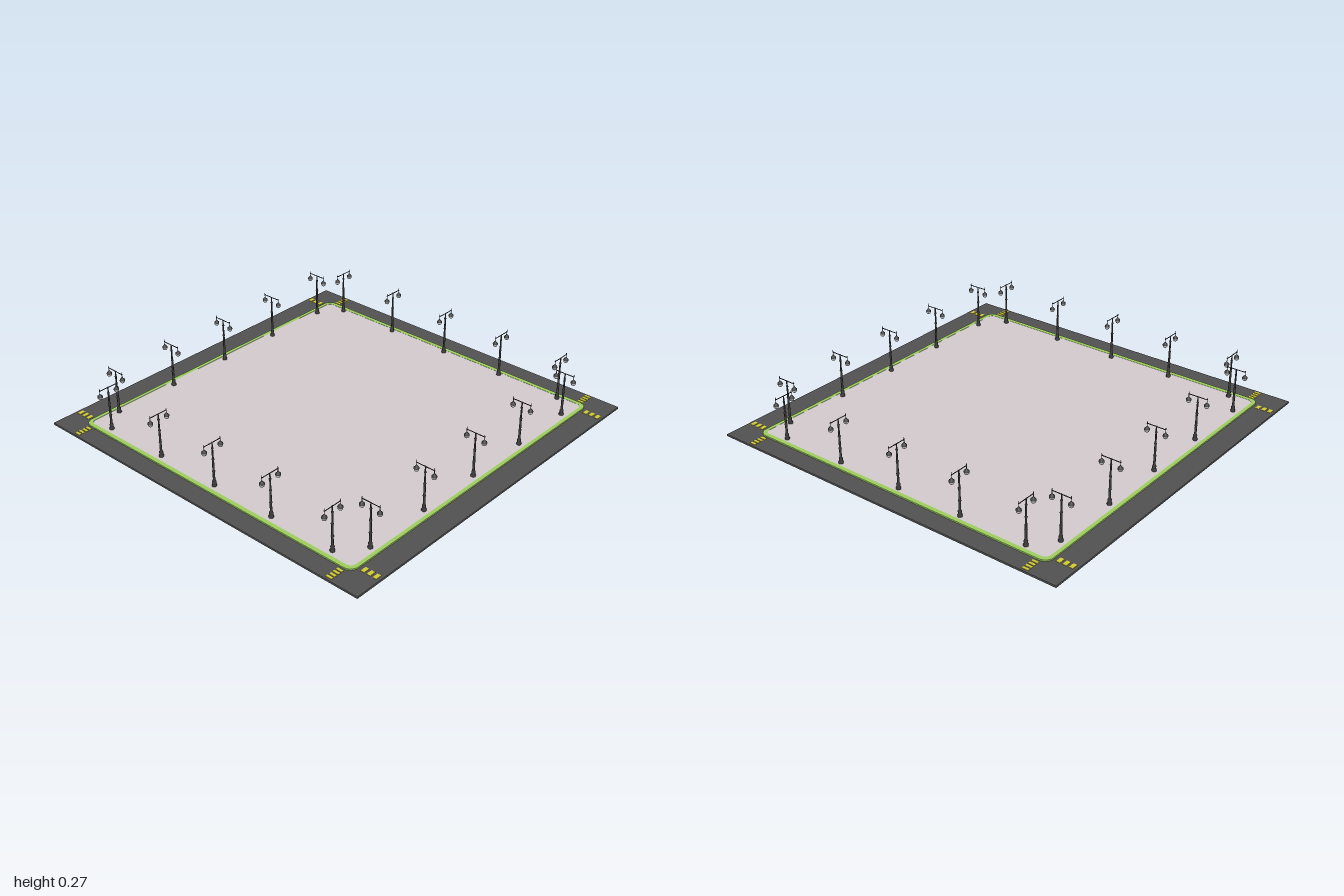
import * as THREE from 'three';

const mat = (color) => new THREE.MeshStandardMaterial({ color });
const asphalt = mat(0x505050), paving = mat(0xd2c8cc), grass = mat(0x9ccc5c);
const paint = mat(0xd0c830), iron = mat(0x3a3a3a), glass = mat(0xb4b4b4);

function add(parent, name, geometry, material, x = 0, y = 0, z = 0) {
  const mesh = new THREE.Mesh(geometry, material);
  mesh.name = name;
  mesh.position.set(x, y, z);
  parent.add(mesh);
  return mesh;
}

// Rounded rectangle path
function roundedRect(path, w, d, r) {
  path.moveTo(-w + r, -d);
  path.lineTo(w - r, -d);
  path.absarc(w - r, -d + r, r, -Math.PI / 2, 0);
  path.lineTo(w, d - r);
  path.absarc(w - r, d - r, r, 0, Math.PI / 2);
  path.lineTo(-w + r, d);
  path.absarc(-w + r, d - r, r, Math.PI / 2, Math.PI);
  path.lineTo(-w, -d + r);
  path.absarc(-w + r, -d + r, r, Math.PI, Math.PI * 1.5);
  return path;
}

// Flat slab lying on the ground plane
function slab(shape, height) {
  return new THREE.ExtrudeGeometry(shape, { depth: height, bevelEnabled: false, curveSegments: 8 })
    .rotateX(-Math.PI / 2);
}

const lathe = (points, n = 12) =>
  new THREE.LatheGeometry(points.map(([r, y]) => new THREE.Vector2(r, y)), n);

const poleGeo = lathe([
  [0.012, 0], [0.012, 0.008], [0.009, 0.012], [0.01, 0.026], [0.006, 0.034],
  [0.0055, 0.075], [0.008, 0.08], [0.0055, 0.086], [0.005, 0.14], [0.0075, 0.145],
  [0.0045, 0.15], [0.004, 0.2], [0.0065, 0.205], [0.0035, 0.21], [0.003, 0.236], [0, 0.24],
]);
const capGeo = lathe([[0.0135, 0.203], [0.0125, 0.209], [0.006, 0.215], [0.003, 0.22], [0, 0.221]]);
const globeGeo = new THREE.SphereGeometry(0.0125, 12, 8);
const armGeo = new THREE.CylinderGeometry(0.0022, 0.0022, 0.1, 6).rotateZ(Math.PI / 2);
const hangerGeo = new THREE.CylinderGeometry(0.0015, 0.0015, 0.02, 6);
const finialGeo = new THREE.ConeGeometry(0.003, 0.015, 6);

// Double lamp with its arm along x, standing on the paving
function streetLamp(x, z, turn) {
  const lamp = new THREE.Group();
  lamp.name = 'streetLamp';
  add(lamp, 'lampPole', poleGeo, iron);
  add(lamp, 'lampArm', armGeo, iron, 0, 0.235, 0);
  for (const s of [-1, 1]) {
    add(lamp, 'lampHanger', hangerGeo, iron, s * 0.05, 0.226, 0);
    add(lamp, 'lampFinial', finialGeo, iron, s * 0.05, 0.242, 0);
    add(lamp, 'lampCap', capGeo, iron, s * 0.05, 0, 0);
    add(lamp, 'lampGlobe', globeGeo, glass, s * 0.05, 0.2, 0);
  }
  lamp.position.set(x, 0.016, z);
  lamp.rotation.y = turn;
  return lamp;
}

export function createModel() {
  const model = new THREE.Group();
  model.name = 'townSquare';

  // Road, grass border and paved middle
  add(model, 'road', new THREE.BoxGeometry(2, 0.01, 2), asphalt, 0, 0.005, 0);
  const border = roundedRect(new THREE.Shape(), 0.88, 0.9, 0.045);
  border.holes.push(roundedRect(new THREE.Path(), 0.86, 0.877, 0.03));
  add(model, 'grassBorder', slab(border, 0.008), grass, 0, 0.009, 0);
  const plaza = roundedRect(new THREE.Shape(), 0.86, 0.877, 0.03);
  add(model, 'plaza', slab(plaza, 0.007), paving, 0, 0.009, 0);

  // Crossings next to each corner
  const stripeX = new THREE.BoxGeometry(0.02, 0.002, 0.033);
  const stripeZ = new THREE.BoxGeometry(0.033, 0.002, 0.013);
  for (const sx of [-1, 1]) {
    for (const sz of [-1, 1]) {
      for (let i = 0; i < 3; i++)
        add(model, 'crossingStripe', stripeX, paint, sx * (0.908 + i * 0.033), 0.011, sz * 0.847);
      for (let i = 0; i < 4; i++)
        add(model, 'crossingStripe', stripeZ, paint, sx * 0.83, 0.011, sz * (0.918 + i * 0.021));
    }
  }

  // Five lamps along every side
  for (let i = -2; i <= 2; i++) {
    for (const s of [-1, 1]) {
      model.add(streetLamp(s * 0.83, i * 0.365 - 0.008, 0));
      model.add(streetLamp(i * 0.365 - 0.004, s * 0.852 - 0.004, Math.PI / 2));
    }
  }
  return model;
}
